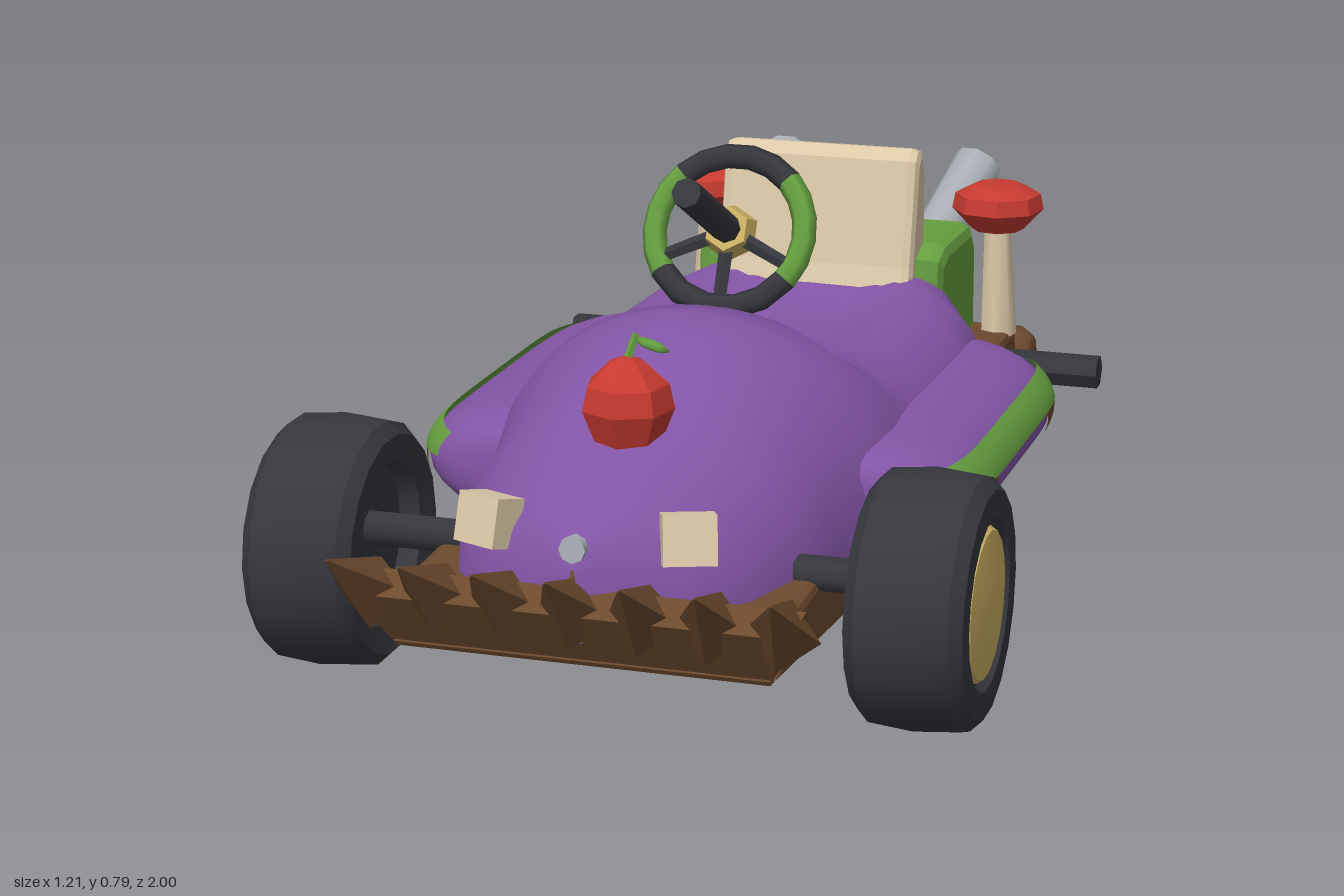
import * as THREE from 'three';
import { toCreasedNormals } from 'three/addons/utils/BufferGeometryUtils.js';

const mat = (name, color, side = THREE.FrontSide) => {
  const m = new THREE.MeshStandardMaterial({ color, side });
  m.name = name;
  return m;
};

export function createModel() {
  const purple = mat('purple paint', 0x8355a6, THREE.DoubleSide);
  const brown = mat('brown wood', 0x6c4a2e);
  const dark = mat('dark rubber', 0x36373d);
  const yellow = mat('straw yellow', 0xcbb062);
  const red = mat('red', 0xc73a31);
  const green = mat('green', 0x669f40, THREE.DoubleSide);
  const cream = mat('cream', 0xdcc9a8);
  const grey = mat('metal grey', 0xa9adb5);

  const kart = new THREE.Group();
  kart.name = 'kart';
  const add = (name, geo, material, pos = [0, 0, 0], parent = kart) => {
    const m = new THREE.Mesh(geo, material);
    m.name = name;
    m.position.set(...pos);
    parent.add(m);
    return m;
  };
  const crease = (geo, a = 0.6) => toCreasedNormals(geo, a);
  const lathe = (pts, sides, a = 0.6) =>
    crease(new THREE.LatheGeometry(pts.map(p => new THREE.Vector2(...p)), sides), a);

  // Surface through rows of points
  const loft = rows => {
    const n = rows[0].length, index = [];
    for (let i = 0; i < rows.length - 1; i++)
      for (let j = 0; j < n - 1; j++) {
        const a = i * n + j, c = a + n;
        index.push(a, c, a + 1, a + 1, c, c + 1);
      }
    const g = new THREE.BufferGeometry();
    g.setAttribute('position', new THREE.Float32BufferAttribute(rows.flat(2), 3));
    g.setIndex(index);
    g.computeVertexNormals();
    return g;
  };
  // Side profile of [z, y] points extruded across x
  const profileX = (pts, width, bevel = 0) => {
    const s = new THREE.Shape(pts.map(([z, y]) => new THREE.Vector2(-z, y)));
    const g = new THREE.ExtrudeGeometry(s, {
      depth: width - 2 * bevel, bevelEnabled: bevel > 0, bevelSize: bevel,
      bevelThickness: bevel, bevelOffset: -bevel, bevelSegments: 2,
    });
    g.translate(0, 0, -width / 2 + bevel);
    return g.rotateY(Math.PI / 2);
  };
  // Cylinder or cone between two points
  const rod = (name, a, b, r0, r1, sides, material, parent = kart) => {
    const p = new THREE.Vector3(...a), d = new THREE.Vector3(...b).sub(p);
    const m = add(name, crease(new THREE.CylinderGeometry(r1, r0, d.length(), sides), 0.9), material, [0, 0, 0], parent);
    m.position.copy(p).addScaledVector(d, 0.5);
    m.quaternion.setFromUnitVectors(new THREE.Vector3(0, 1, 0), d.normalize());
    return m;
  };

  // Body shell: z, half width, top, cockpit dip, squareness
  const sections = [
    [0.865, 0.01, 0.3, 0, 2], [0.845, 0.1, 0.35, 0, 2], [0.8, 0.18, 0.385, 0, 2], [0.72, 0.25, 0.41, 0, 2.1],
    [0.58, 0.305, 0.45, 0, 2.1], [0.46, 0.32, 0.505, 0, 2], [0.36, 0.34, 0.545, 0, 2],
    [0.27, 0.37, 0.56, 0, 2], [0.19, 0.38, 0.55, 0, 2.1], [0.12, 0.38, 0.5, 0.01, 2.3],
    [0.05, 0.38, 0.455, 0.03, 2.7], [-0.08, 0.38, 0.443, 0.05, 3], [-0.3, 0.38, 0.447, 0.06, 3],
    [-0.44, 0.36, 0.456, 0.05, 3], [-0.54, 0.3, 0.47, 0.02, 3], [-0.63, 0.24, 0.46, 0, 3],
  ];
  add('bodyShell', loft(sections.map(([z, w, top, dip, n]) => {
    const row = [];
    for (let j = 0; j <= 28; j++) {
      const t = Math.PI * j / 28, c = Math.cos(t), s = Math.max(0, Math.sin(t));
      const x = w * Math.sign(c) * Math.abs(c) ** (2 / n);
      const groove = 1 - THREE.MathUtils.smoothstep(Math.abs(x), 0.08, 0.24);
      row.push([x, 0.18 + (top - 0.18) * s ** (2 / n) - dip * groove, z]);
    }
    return row;
  })), purple);

  // Side pods, with trim bands laid over the same surface
  const podPatch = (side, u0, u1, a0, a1, lift) => {
    const rows = [];
    for (let i = 0; i <= 20; i++) {
      const u = Math.sin(u0 + (u1 - u0) * i / 20);
      const k = Math.max(0, 1 - Math.abs(u) ** 6) ** 0.4, row = [];
      for (let j = 0; j <= 12; j++) {
        const a = a0 + (a1 - a0) * j / 12, c = Math.max(0, Math.cos(a)), s = Math.sin(a);
        row.push([side * (0.28 + (0.222 * k + lift) * c ** 0.8),
          0.265 + (0.1 * Math.sqrt(k) + lift) * s, -0.065 + 0.415 * u]);
      }
      rows.push(side > 0 ? row : row.reverse());
    }
    return loft(rows);
  };
  const H = Math.PI / 2;
  for (const side of [1, -1]) {
    const n = side > 0 ? 'left' : 'right';
    add(n + 'SidePod', podPatch(side, H, -H, -H, H, 0), purple);
    add(n + 'PodStripe', podPatch(side, 1.15, -1.1, 0.12, 0.65, 0.008), green);
    add(n + 'PodFrontPatch', podPatch(side, 0.98, 0.5, -0.4, 0.12, 0.006), brown).material = brown;
    add(n + 'PodRearPatch', podPatch(side, -0.48, -0.98, -0.4, 0.12, 0.006), brown);
  }

  // Wooden chassis, rear log and toothed bumper
  add('chassis', profileX([[0.84, 0.14], [0.8, 0.22], [0.6, 0.23], [0.3, 0.2], [-0.5, 0.2], [-0.6, 0.28],
    [-0.8, 0.28], [-0.82, 0.13], [0.4, 0.107]], 0.65, 0.015), brown);
  const log = lathe([[0, -0.35], [0.045, -0.345], [0.062, -0.32], [0.062, 0.32], [0.045, 0.345], [0, 0.35]], 10, 0.9);
  add('rearLog', log.rotateZ(H), brown, [0, 0.2, -0.855]);
  const bar = profileX([[0.74, 0.13], [0.83, 0.13], [0.9, 0.235], [0.85, 0.265], [0.76, 0.22]], 0.62);
  const bp = bar.attributes.position;
  for (let i = 0; i < bp.count; i++) bp.setX(i, bp.getX(i) * (1 + (bp.getY(i) - 0.13) * 1.5));
  bar.computeVertexNormals();
  add('bumper', bar, brown);
  for (let i = -3; i <= 3; i++)
    rod('bumperTooth', [i * 0.112, 0.222, 0.85], [i * 0.119, 0.32, 0.99], 0.06, 0.002, 4, brown);

  // Front wheels
  for (const side of [1, -1]) {
    const wheel = new THREE.Group();
    wheel.name = side > 0 ? 'leftWheel' : 'rightWheel';
    wheel.position.set(side * 0.505, 0.212, 0.595);
    wheel.rotation.z = -side * H;
    kart.add(wheel);
    add('tyre', lathe([[0, -0.05], [0.135, -0.05], [0.14, -0.085], [0.185, -0.095], [0.205, -0.075], [0.212, 0],
      [0.205, 0.075], [0.185, 0.095], [0.14, 0.095], [0.13, 0.08], [0, 0.08]], 18, 0.5), dark, [0, 0, 0], wheel);
    add('hubcap', lathe([[0.128, 0.08], [0.12, 0.092], [0.06, 0.1], [0, 0.102]], 18), yellow, [0, 0, 0], wheel);
  }
  rod('frontAxle', [-0.47, 0.235, 0.59], [0.47, 0.235, 0.59], 0.03, 0.03, 8, dark);
  rod('rearAxle', [-0.525, 0.25, -0.625], [0.525, 0.25, -0.625], 0.032, 0.032, 6, dark);

  // Engine box and seat back
  add('engineBox', profileX([[-0.5, 0.23], [-0.52, 0.47], [-0.58, 0.49], [-0.78, 0.485], [-0.815, 0.44], [-0.815, 0.23]],
    0.48, 0.025), green);
  add('seatBack', profileX([[-0.47, 0.4], [-0.49, 0.46], [-0.53, 0.655], [-0.55, 0.675], [-0.58, 0.67], [-0.6, 0.62],
    [-0.6, 0.4]], 0.38, 0.018), cream);

  for (const side of [1, -1]) {
    // Exhaust pipes with dark mouths
    const a = [side * 0.14, 0.4, -0.76], b = [side * 0.2, 0.555, -0.975];
    rod('exhaustPipe', a, b, 0.045, 0.05, 9, grey);
    rod('exhaustMouth', b, [side * 0.2004, 0.5565, -0.977], 0.03, 0.03, 9, dark);
    // Toadstools
    rod('toadstoolStem', [side * 0.295, 0.27, -0.77], [side * 0.288, 0.51, -0.77], 0.036, 0.025, 7, cream);
    add('toadstoolCap', lathe([[0, 0.49], [0.05, 0.48], [0.088, 0.52], [0.082, 0.55], [0.045, 0.568], [0, 0.57]], 8, 0.4),
      red, [side * 0.29, 0, -0.77]).rotation.y = 0.2;
    // Headlamps
    const lamp = add('headlamp', new THREE.BoxGeometry(0.085, 0.08, 0.06), cream, [side * 0.165, 0.342, 0.79]);
    lamp.rotation.set(-0.25, side * 0.4, side * 0.08);
  }
  rod('noseButton', [0, 0.33, 0.845], [0, 0.332, 0.866], 0.022, 0.022, 8, grey);

  // Tomato ornament
  add('tomato', lathe([[0, 0.42], [0.055, 0.43], [0.077, 0.485], [0.068, 0.525], [0.03, 0.56], [0, 0.572]], 7, 0.4),
    red, [0, 0, 0.595]);
  rod('tomatoStalk', [0, 0.56, 0.595], [0.012, 0.605, 0.585], 0.008, 0.006, 5, green);
  const leaf = add('tomatoLeaf', new THREE.SphereGeometry(1, 6, 4), green, [0.04, 0.59, 0.59]);
  leaf.scale.set(0.032, 0.008, 0.014);
  leaf.rotation.z = -0.3;

  // Steering wheel
  const steering = new THREE.Group();
  steering.name = 'steeringWheel';
  steering.position.set(0, 0.645, 0.045);
  steering.rotation.x = -0.47;
  kart.add(steering);
  const deg = Math.PI / 180;
  for (const [from, to, m] of [[45, 135, dark], [-35, 45, green], [135, 215, green], [215, 325, dark]])
    add('rimSection', new THREE.TorusGeometry(0.135, 0.022, 6, 5, (to - from) * deg), m, [0, 0, 0], steering)
      .rotation.z = from * deg;
  rod('steeringColumn', [0, 0, 0.01], [0, 0, 0.27], 0.026, 0.026, 8, dark, steering);
  rod('steeringHub', [0, 0, -0.015], [0, 0, 0.02], 0.05, 0.04, 6, yellow, steering);
  for (const ang of [-25, 205, 270])
    rod('spoke', [0, 0, 0], [0.13 * Math.cos(ang * deg), 0.13 * Math.sin(ang * deg), 0], 0.014, 0.012, 5, dark, steering);

  return kart;
}
